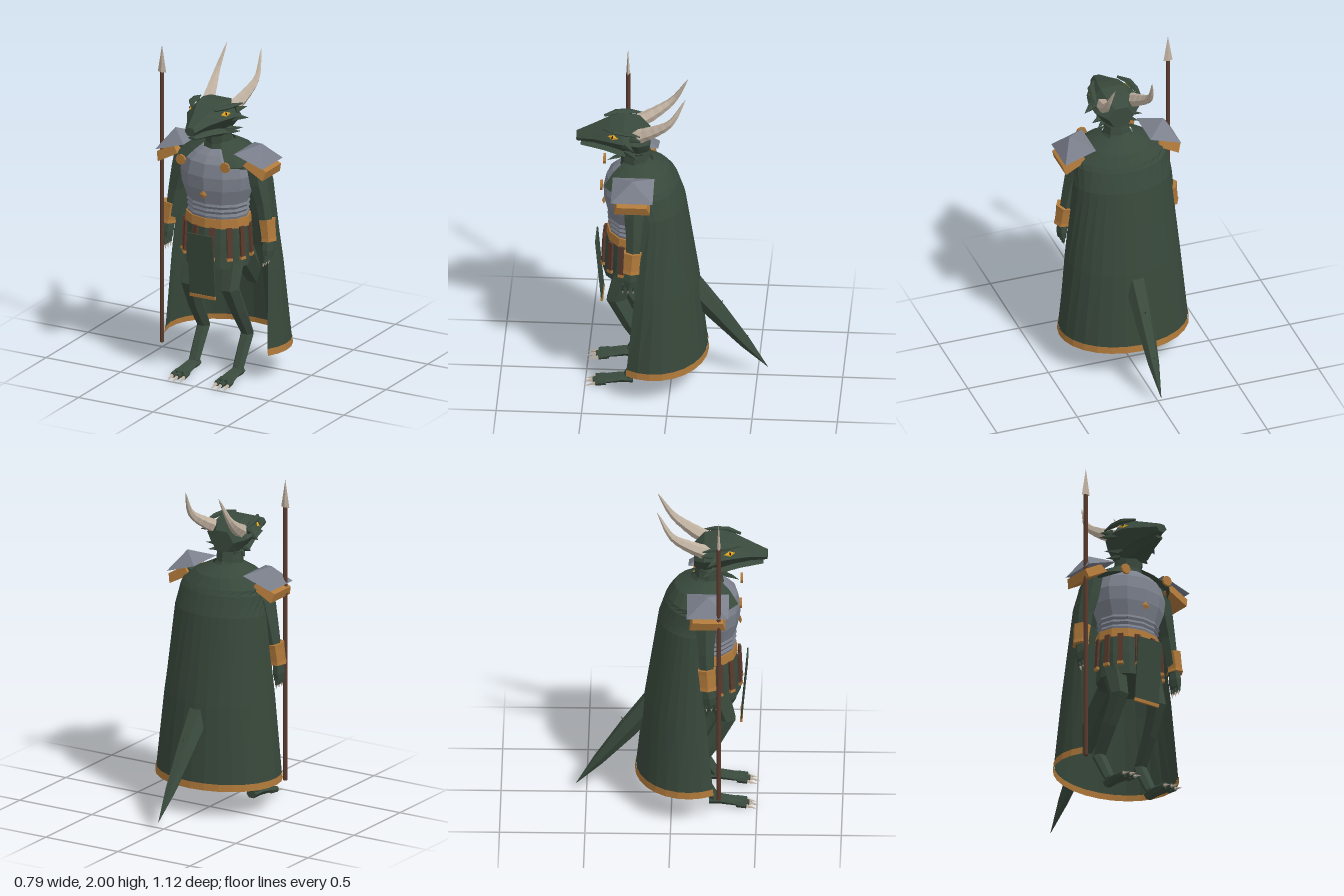
import * as THREE from 'three';

const mat = (name, color, side = THREE.FrontSide) => {
  const m = new THREE.MeshStandardMaterial({ color, side });
  m.name = name;
  return m;
};
const V = (x, y, z) => new THREE.Vector3(x, y, z);

export function createModel() {
  const model = new THREE.Group();
  model.name = 'armouredReptileGuard';
  const scales = mat('scaleGreen', 0x3a4a3d);
  const cloth = mat('clothGreen', 0x38483b, THREE.DoubleSide);
  const steel = mat('steel', 0x7b808c);
  const bronze = mat('bronze', 0xb0793a, THREE.DoubleSide);
  const leather = mat('leather', 0x5a3a2d);
  const horn = mat('horn', 0xc2b3a2);
  const amber = mat('amber', 0xe0a21c);
  const dark = mat('pupilBlack', 0x16181a);

  // Faceted mesh helper
  function add(name, geometry, material, parent = model) {
    const g = geometry.index ? geometry.toNonIndexed() : geometry;
    g.computeVertexNormals();
    const m = new THREE.Mesh(g, material);
    m.name = name;
    parent.add(m);
    return m;
  }

  // Skin a list of point rings; closed rings get end caps
  function skin(rings, closed) {
    const pos = [], n = rings[0].length;
    const tri = (...p) => p.forEach((q) => pos.push(q.x, q.y, q.z));
    for (let i = 0; i < rings.length - 1; i++) {
      for (let j = 0; j < (closed ? n : n - 1); j++) {
        const k = (j + 1) % n, A = rings[i], B = rings[i + 1];
        tri(A[j], A[k], B[k]);
        tri(A[j], B[k], B[j]);
      }
    }
    if (closed) {
      const S = rings[0], E = rings[rings.length - 1];
      for (let j = 1; j < n - 1; j++) {
        tri(S[0], S[j + 1], S[j]);
        tri(E[0], E[j], E[j + 1]);
      }
    }
    return new THREE.BufferGeometry().setAttribute('position', new THREE.Float32BufferAttribute(pos, 3));
  }

  // Loft along sections [x, y, z, halfWidth, halfDepth]
  function loft(name, sections, material, sides = 6, upright = false) {
    const c = sections.map((s) => V(s[0], s[1], s[2]));
    const rings = sections.map((s, i) => {
      const t = c[Math.min(i + 1, c.length - 1)].clone().sub(c[Math.max(i - 1, 0)]).normalize();
      if (upright) t.set(0, 0, 1);
      const u = V(1, 0, 0).addScaledVector(t, -t.x).normalize();
      const v = t.clone().cross(u);
      return Array.from({ length: sides }, (_, j) => {
        const a = (j / sides) * Math.PI * 2;
        return c[i].clone().addScaledVector(u, s[3] * Math.cos(a)).addScaledVector(v, s[4] * Math.sin(a));
      });
    });
    return add(name, skin(rings, true), material);
  }

  // Pointed spike from a to b
  function spike(name, a, b, r, material, sides = 5) {
    const d = b.clone().sub(a);
    const m = add(name, new THREE.ConeGeometry(r, d.length(), sides), material);
    m.position.copy(a).addScaledVector(d, 0.5);
    m.quaternion.setFromUnitVectors(V(0, 1, 0), d.normalize());
    return m;
  }

  // Torso: breastplate with waist ridges, belt, skirt
  const body = (rows, zc) => rows.map(([y, rx, rz]) => [0, y, zc, rx, rz]);
  loft('breastplate', body([[1.42, 0.1, 0.09], [1.39, 0.16, 0.13], [1.35, 0.21, 0.165], [1.27, 0.235, 0.182],
    [1.19, 0.225, 0.178], [1.1, 0.19, 0.155], [1.085, 0.197, 0.16], [1.07, 0.186, 0.152], [1.055, 0.194, 0.158],
    [1.04, 0.183, 0.15], [1.025, 0.192, 0.156], [1, 0.185, 0.15]], 0.22), steel, 12);
  loft('belt', body([[1.01, 0.2, 0.16], [0.955, 0.205, 0.165]], 0.22), bronze, 12);
  loft('skirt', body([[0.965, 0.19, 0.15], [0.85, 0.2, 0.165], [0.71, 0.2, 0.175]], 0.23), scales, 12);
  loft('neck', [[0, 1.38, 0.2, 0.12, 0.12], [0, 1.46, 0.215, 0.08, 0.085], [0, 1.59, 0.23, 0.072, 0.078]], scales, 8);

  // Front cloth panel with hem
  const panel = new THREE.Group();
  panel.name = 'frontPanel';
  panel.position.set(0, 0.73, 0.425);
  panel.rotation.x = 0.09;
  model.add(panel);
  add('panelCloth', new THREE.BoxGeometry(0.17, 0.4, 0.008), cloth, panel);
  add('panelHem', new THREE.BoxGeometry(0.172, 0.02, 0.014), bronze, panel).position.y = -0.195;

  // Hanging straps around the skirt
  for (const a of [-1.75, -1.25, -0.8, -0.27, 0.27, 0.8, 1.25, 1.75]) {
    const strap = new THREE.Group();
    strap.name = 'skirtStrap';
    strap.position.set(Math.sin(a) * 0.208, 0.87, 0.23 + Math.cos(a) * 0.175);
    strap.rotation.set(-0.05, a, 0, 'YXZ');
    model.add(strap);
    add('strapLeather', new THREE.BoxGeometry(0.032, 0.19, 0.014), leather, strap);
    add('strapTip', new THREE.BoxGeometry(0.036, 0.018, 0.018), bronze, strap).position.y = -0.097;
  }

  // Chest gem
  const gem = add('chestGem', new THREE.OctahedronGeometry(0.027), bronze);
  gem.scale.z = 0.4;
  gem.position.set(0, 1.165, 0.4);

  // Head and jaws
  loft('head', [[0, 1.605, 0.56, 0.035, 0.028], [0, 1.627, 0.46, 0.075, 0.05], [0, 1.642, 0.36, 0.132, 0.078],
    [0, 1.638, 0.28, 0.152, 0.1], [0, 1.62, 0.19, 0.14, 0.105], [0, 1.6, 0.13, 0.08, 0.07]].reverse(), scales, 6, true);
  loft('lowerJaw', [[0, 1.53, 0.17, 0.07, 0.045], [0, 1.53, 0.28, 0.1, 0.034], [0, 1.545, 0.4, 0.06, 0.02],
    [0, 1.557, 0.535, 0.026, 0.009]], scales, 6, true);

  // Tail and its small spines
  loft('tail', [[0, 0.84, 0.12, 0.085, 0.08], [0, 0.65, -0.08, 0.075, 0.075], [0, 0.43, -0.26, 0.056, 0.06],
    [0, 0.22, -0.43, 0.034, 0.034], [0, 0.06, -0.56, 0.001, 0.001]], scales, 6);
  spike('tailSpine', V(0, 0.46, -0.27), V(0, 0.51, -0.3), 0.012, scales, 4);
  spike('tailSpine', V(0, 0.24, -0.42), V(0, 0.275, -0.45), 0.01, scales, 4);

  for (const s of [1, -1]) {
    const side = s > 0 ? 'left' : 'right';
    const P = (x, y, z) => V(x * s, y, z);
    const limb = (name, rows, m, n) => loft(side + name, rows.map(([x, ...r]) => [x * s, ...r]), m, n);

    // Ridged horn along a curve
    const curve = new THREE.CatmullRomCurve3([P(0.085, 1.655, 0.21), P(0.115, 1.72, 0.09), P(0.133, 1.79, 0), P(0.115, 1.94, -0.085)]);
    limb('Horn', curve.getPoints(14).map((p, i) => {
      const r = 0.046 * Math.pow(1 - i / 14, 0.75) * (i % 2 ? 1 : 0.94) + 0.001;
      return [p.x * s, p.y, p.z, r * 0.9, r];
    }), horn, 6);

    // Eye, brow, cheek spikes
    const eye = new THREE.Group();
    eye.name = side + 'Eye';
    eye.position.copy(P(0.117, 1.668, 0.34));
    eye.lookAt(P(0.84, 2.2, 0.68));
    model.add(eye);
    add('iris', new THREE.OctahedronGeometry(1), amber, eye).scale.set(0.036, 0.016, 0.009);
    const pupil = add('pupil', new THREE.OctahedronGeometry(1), dark, eye);
    pupil.scale.set(0.006, 0.014, 0.004);
    pupil.position.z = 0.007;
    limb('Brow', [[0.075, 1.7, 0.4, 0.008, 0.008], [0.115, 1.705, 0.33, 0.022, 0.014], [0.13, 1.7, 0.25, 0.02, 0.014],
      [0.14, 1.69, 0.18, 0.003, 0.003]], scales, 5);
    spike(side + 'CheekSpike', P(0.12, 1.63, 0.27), P(0.2, 1.62, 0.21), 0.03, scales);
    spike(side + 'CheekSpike', P(0.12, 1.66, 0.23), P(0.168, 1.675, 0.17), 0.025, scales);
    spike(side + 'JawSpike', P(0.07, 1.54, 0.26), P(0.157, 1.55, 0.2), 0.025, scales);
    spike(side + 'JawSpike', P(0.07, 1.52, 0.24), P(0.13, 1.515, 0.18), 0.02, scales);

    // Arm, bracer, hand
    limb('Arm', [[0.23, 1.39, 0.2, 0.06, 0.07], [0.265, 1.22, 0.205, 0.058, 0.065], [0.295, 1.1, 0.205, 0.047, 0.052],
      [0.33, 0.88, 0.215, 0.036, 0.04]], scales);
    limb('Bracer', [[0.322, 1.01, 0.21, 0.054, 0.06], [0.326, 0.985, 0.212, 0.05, 0.057], [0.336, 0.905, 0.217, 0.046, 0.053],
      [0.338, 0.885, 0.218, 0.05, 0.056]], bronze);
    limb('Hand', [[0.333, 0.89, 0.218, 0.03, 0.036], [0.335, 0.83, 0.225, 0.034, 0.045], [0.335, 0.785, 0.23, 0.026, 0.04]], scales);
    for (const z of [0.2, 0.23, 0.26]) {
      limb('Finger', [[0.337, 0.8, z, 0.014, 0.013], [0.332, 0.755, z + 0.005, 0.011, 0.011]], scales, 5);
      spike(side + 'FingerClaw', P(0.332, 0.76, z + 0.005), P(0.326, 0.725, z + 0.01), 0.009, horn);
    }

    // Layered shoulder guard
    const plate = (name, top, m, x, y, rot, sx, sy, sz) => {
      const g = new THREE.CylinderGeometry(top, Math.SQRT1_2, 1, 4).rotateY(Math.PI / 4).scale(sx, sy, sz);
      const p = add(side + name, g, m);
      p.position.copy(P(x, y, 0.215));
      p.rotation.z = -rot * s;
    };
    plate('ShoulderPlate', 0, steel, 0.278, 1.435, 0.32, 0.2, 0.085, 0.245);
    plate('ShoulderLame', 0.6, bronze, 0.298, 1.345, 0.5, 0.15, 0.055, 0.21);

    // Leg, foot, toes
    limb('Leg', [[0.125, 0.82, 0.24, 0.075, 0.085], [0.135, 0.58, 0.32, 0.058, 0.062], [0.145, 0.42, 0.235, 0.047, 0.05],
      [0.147, 0.25, 0.135, 0.042, 0.042], [0.147, 0.06, 0.25, 0.036, 0.03]], scales);
    limb('Foot', [[0.147, 0.045, 0.22, 0.034, 0.028], [0.147, 0.047, 0.29, 0.04, 0.028], [0.147, 0.028, 0.42, 0.052, 0.021]], scales);
    for (const [x, z] of [[-0.038, 0.44], [0, 0.455], [0.038, 0.44]]) {
      limb('Toe', [[0.147 + x * 0.8, 0.03, 0.38, 0.018, 0.022], [0.147 + x, 0.022, z, 0.015, 0.018]], scales, 6);
      spike(side + 'ToeClaw', P(0.147 + x, 0.022, z - 0.01), P(0.147 + x * 1.1, 0.003, z + 0.062), 0.013, horn);
    }

    // Cape brooch
    const brooch = add(side + 'Brooch', new THREE.CylinderGeometry(0.032, 0.032, 0.014, 8).rotateX(Math.PI / 2), bronze);
    brooch.position.copy(P(0.148, 1.36, 0.405));
  }

  // Cape rows: [y, halfWidth, zCentre, halfDepth, sweep in degrees from the back]
  const capeRing = ([y, rx, zc, rz, deg]) => Array.from({ length: 19 }, (_, j) => {
    const a = (j / 9 - 1) * THREE.MathUtils.degToRad(deg);
    return V(rx * Math.sin(a), y, zc - rz * Math.cos(a));
  });
  add('cape', skin([[1.46, 0.09, 0.2, 0.09, 150], [1.41, 0.19, 0.19, 0.175, 150], [1.35, 0.275, 0.2, 0.225, 148],
    [1.32, 0.28, 0.17, 0.21, 115], [1.2, 0.295, 0.13, 0.21, 96], [0.68, 0.345, 0.11, 0.27, 110],
    [0.21, 0.388, 0.1, 0.31, 118]].map(capeRing), false), cloth);
  add('capeHem', skin([[0.217, 0.391, 0.1, 0.313, 118], [0.175, 0.394, 0.1, 0.317, 118]].map(capeRing), false), bronze);

  // Spear
  const spear = new THREE.Group();
  spear.name = 'spear';
  spear.position.set(-0.345, 0, 0.28);
  model.add(spear);
  add('shaft', new THREE.CylinderGeometry(0.013, 0.013, 1.68, 8), leather, spear).position.y = 0.99;
  const tip = add('spearHead', new THREE.ConeGeometry(0.028, 0.17, 4), horn, spear);
  tip.position.y = 1.915;
  tip.scale.z = 0.4;

  return model;
}
